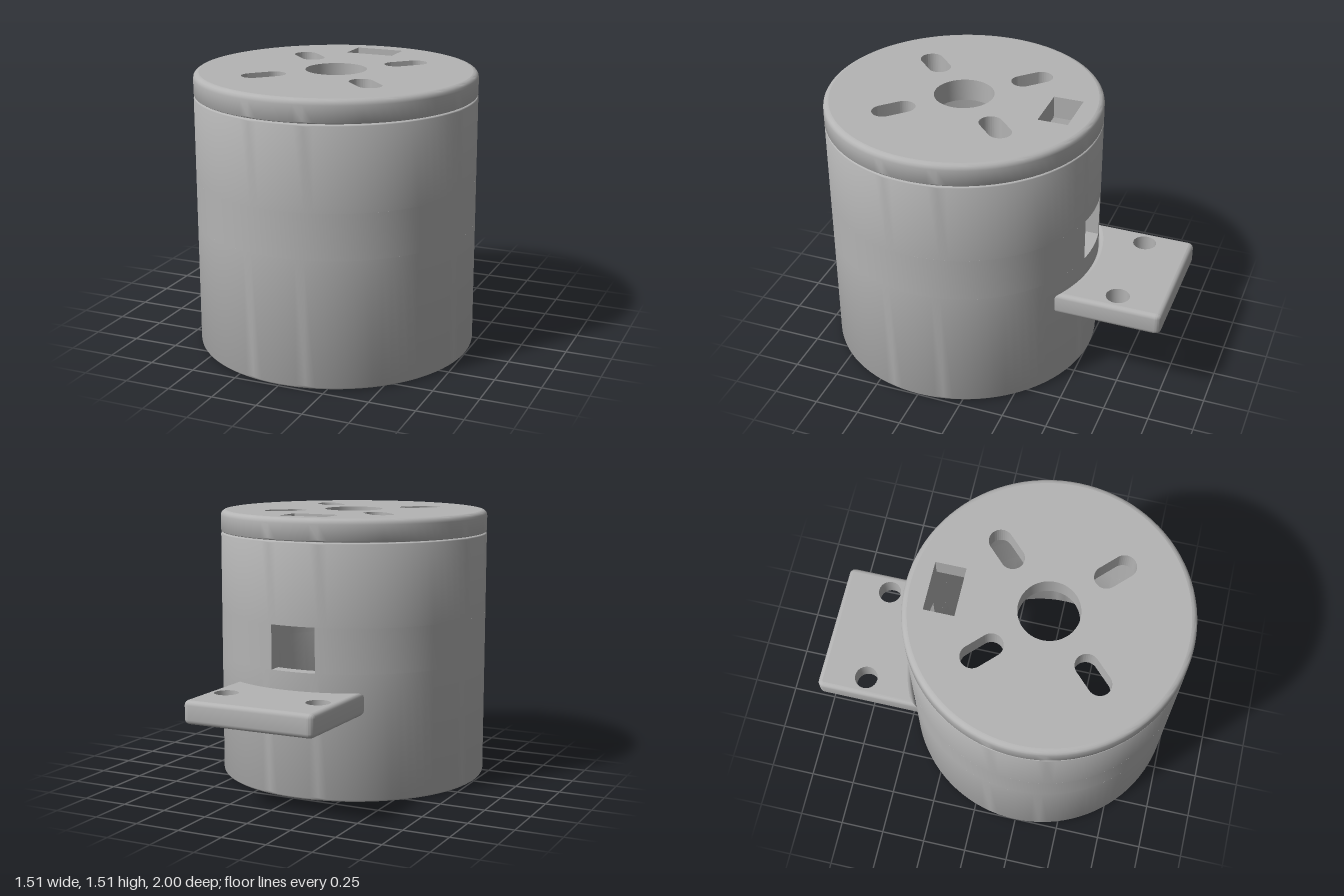
import * as THREE from 'three';
import { toCreasedNormals } from 'three/addons/utils/BufferGeometryUtils.js';

const CZ = 0.245;      // z of the cylinder axis
const R = 0.755;       // outer radius
const RI = 0.68;       // inner radius
const SEG = 96;
const V = (x, y) => new THREE.Vector2(x, y);

// Quarter-round corner points about (cx, cy), from angle a in 90 degree sweep
function corner(cx, cy, r, a, steps = 4) {
  return Array.from({ length: steps + 1 }, (_, i) => {
    const t = a + (i / steps) * Math.PI / 2;
    return V(cx + r * Math.cos(t), cy + r * Math.sin(t));
  });
}

function lathe(points) {
  return toCreasedNormals(new THREE.LatheGeometry(points, SEG), 0.6);
}

// Extrude a plan shape (shape y = -z) upward from y0 to y1
function slab(shape, y0, y1, curveSegments = SEG / 2) {
  const g = new THREE.ExtrudeGeometry(shape, { depth: y1 - y0, bevelEnabled: false, curveSegments });
  g.rotateX(-Math.PI / 2).translate(0, y0, 0);
  return toCreasedNormals(g, 0.6);
}

function circleHole(x, y, r) {
  return new THREE.Path().absarc(x, y, r, 0, Math.PI * 2, true);
}

// Rounded slot lying along the radial direction at the given angle
function slotHole(angle, dist, half, r) {
  const p = new THREE.Path();
  const c = Math.cos(angle), s = Math.sin(angle);
  p.absarc((dist + half) * c, (dist + half) * s, r, angle + Math.PI / 2, angle - Math.PI / 2, true);
  p.absarc((dist - half) * c, (dist - half) * s, r, angle - Math.PI / 2, angle - Math.PI * 1.5, true);
  p.closePath();
  return p;
}

function rectHole(x0, y0, x1, y1) {
  return new THREE.Path([V(x0, y0), V(x0, y1), V(x1, y1), V(x1, y0), V(x0, y0)]);
}

// Bracket plan, inset by d, with a concave edge following the cylinder
function bracketPlan(d) {
  const hw = 0.375 - d, back = 1 - d, c = 0.035 - d, r = R + 0.002 + d;
  const a = Math.asin(hw / r);
  const s = new THREE.Shape();
  s.absarc(0, -CZ, r, Math.PI / 2 + a, Math.PI / 2 - a, true);
  s.absarc(hw - c, back - c, c, 0, Math.PI / 2, false);
  s.absarc(-hw + c, back - c, c, Math.PI / 2, Math.PI, false);
  return s;
}

// Rounded outer edge of the bracket, lofted through inset outlines
function bracketEdge(y0, y1, r) {
  const rows = [];
  for (let i = 0; i <= 4; i++) {
    const t = (i / 4) * Math.PI / 2;
    rows.push([r * (1 - Math.sin(t)), y0 + r * (1 - Math.cos(t))]);
  }
  for (let i = 4; i >= 0; i--) rows.push([rows[i][0], y0 + y1 - rows[i][1]]);
  const pos = [], idx = [];
  let n = 0;
  rows.forEach(([d, y]) => {
    const pts = bracketPlan(d).getPoints(12);
    n = pts.length;
    pts.forEach(p => pos.push(p.x, y, -p.y));
  });
  for (let j = 0; j < rows.length - 1; j++) {
    for (let i = 0; i < n; i++) {
      const a = j * n + i, b = j * n + (i + 1) % n;
      idx.push(a, b, b + n, a, b + n, a + n);
    }
  }
  const g = new THREE.BufferGeometry();
  g.setAttribute('position', new THREE.Float32BufferAttribute(pos, 3));
  g.setIndex(idx);
  return toCreasedNormals(g, 0.6);
}

export function createModel() {
  const model = new THREE.Group();
  const grey = new THREE.MeshStandardMaterial({ color: 0xb4b4b4 });
  grey.name = 'plain grey';

  const add = (parent, name, geometry, z = 0) => {
    const m = new THREE.Mesh(geometry, grey);
    m.name = name;
    m.position.z = z;
    parent.add(m);
  };
  const group = name => {
    const g = new THREE.Group();
    g.name = name;
    model.add(g);
    return g;
  };

  // Tube body: lower ring, notched middle ring with the rear window, upper ring
  const body = group('tubeBody');
  const w0 = 0.695, w1 = 0.94, top = 1.385, e = 0.02;
  add(body, 'lowerTube', lathe([
    V(RI, w0),
    ...corner(RI + e, e, e, Math.PI),
    ...corner(R - e, e, e, -Math.PI / 2),
    V(R, w0), V(RI, w0),
  ]), CZ);

  const hw = 0.13, ao = Math.asin(hw / R), ai = Math.asin(hw / RI), q = Math.PI / 2;
  const ring = new THREE.Shape();
  ring.absarc(0, 0, R, q + ao, q + Math.PI * 2 - ao, false);
  ring.absarc(0, 0, RI, q + Math.PI * 2 - ai, q + ai, true);
  ring.closePath();
  add(body, 'windowRing', slab(ring, w0, w1), CZ);

  add(body, 'upperTube', lathe([
    V(RI, top), V(RI, w1), V(R, w1),
    ...corner(R - 0.01, top - 0.01, 0.01, 0),
    V(RI, top),
  ]), CZ);

  // Lid: pierced disc with a rounded rim
  const lid = group('lid');
  const disc = new THREE.Shape().absarc(0, 0, R - 0.03, 0, Math.PI * 2, false);
  disc.holes.push(circleHole(0, 0, 0.163));
  for (let i = 0; i < 4; i++) disc.holes.push(slotHole(Math.PI / 4 + i * q, 0.405, 0.057, 0.063));
  disc.holes.push(rectHole(-0.135, 0.464, 0.135, 0.629));
  add(lid, 'lidDisc', slab(disc, top, 1.51), CZ);
  add(lid, 'lidRim', lathe([
    V(R - 0.03, 1.388),
    ...corner(R - 0.01, 1.398, 0.01, -q),
    ...corner(R - 0.03, 1.48, 0.03, 0),
  ]), CZ);

  // Rear mounting bracket with two screw holes
  const bracket = group('mountingBracket');
  const r = 0.025;
  const plate = bracketPlan(r);
  for (const s of [-1, 1]) plate.holes.push(circleHole(s * 0.27, 0.735, 0.065));
  add(bracket, 'bracketPlate', slab(plate, 0.475, 0.6, 12));
  add(bracket, 'bracketEdge', bracketEdge(0.475, 0.6, r));

  return model;
}
